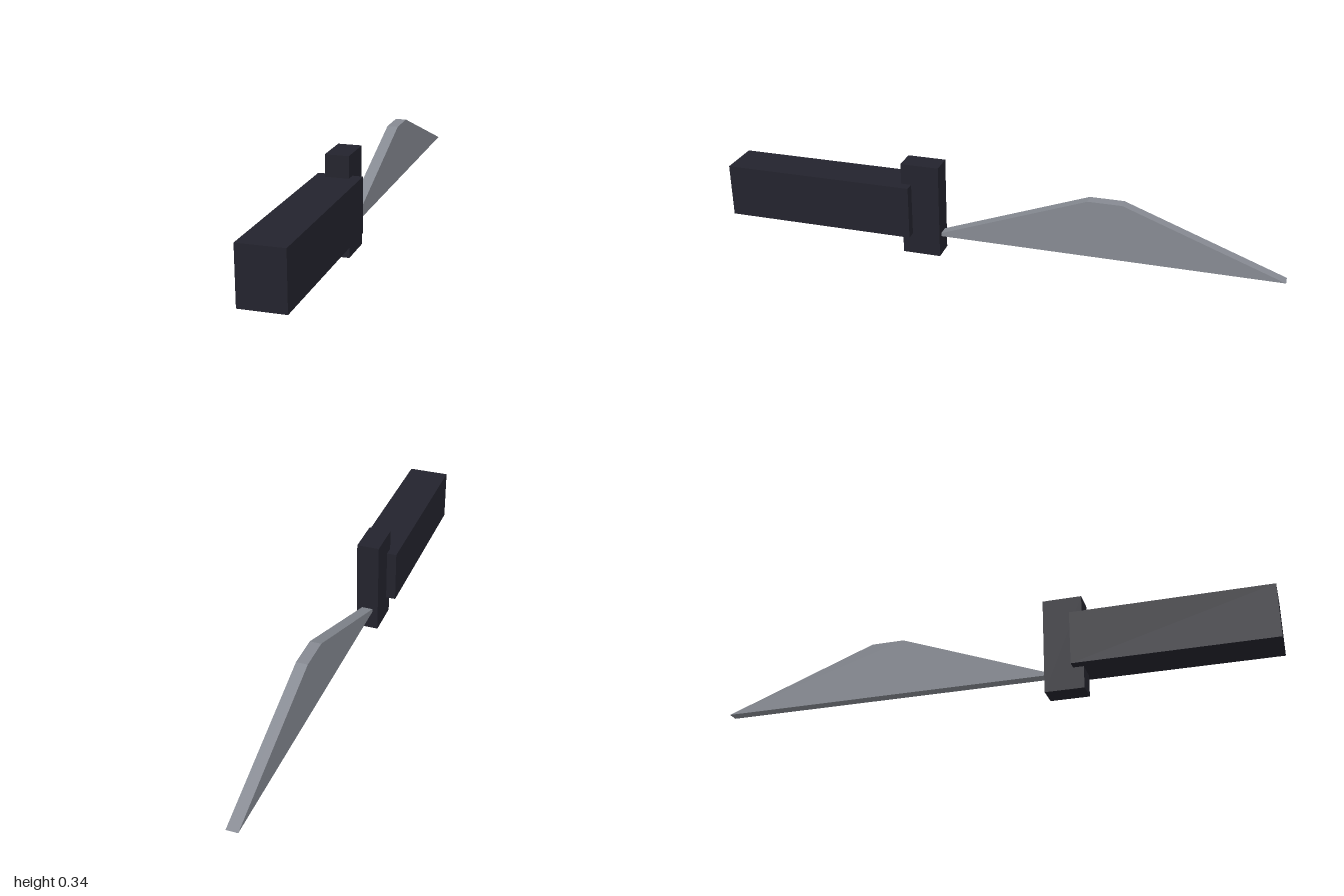
import * as THREE from 'three';

export function createModel() {
  const model = new THREE.Group();
  const grip = new THREE.MeshStandardMaterial({ name: 'dark grip', color: 0x23232d });
  const steel = new THREE.MeshStandardMaterial({ name: 'grey steel', color: 0x868a92 });

  // Box given by its width and its y and z ranges, centred on x = 0
  function addBox(name, width, y0, y1, z0, z1) {
    const mesh = new THREE.Mesh(new THREE.BoxGeometry(width, y1 - y0, z1 - z0), grip);
    mesh.name = name;
    mesh.position.set(0, (y0 + y1) / 2, (z0 + z1) / 2);
    model.add(mesh);
  }
  addBox('handle', 0.152, 0.078, 0.27, 0.308, 1);
  addBox('guard', 0.081, 0, 0.345, 0.207, 0.345);

  // Blade outline in (z, y), extruded across x; its root runs into the guard
  const outline = new THREE.Shape([
    [-1, 0.071], [0.24, 0.071], [-0.32, 0.28], [-0.44, 0.28],
  ].map(([z, y]) => new THREE.Vector2(z, y)));
  const thickness = 0.04;
  const geometry = new THREE.ExtrudeGeometry(outline, { depth: thickness, bevelEnabled: false });
  geometry.translate(0, 0, -thickness / 2);
  geometry.rotateY(-Math.PI / 2);
  const blade = new THREE.Mesh(geometry, steel);
  blade.name = 'blade';
  model.add(blade);

  return model;
}
